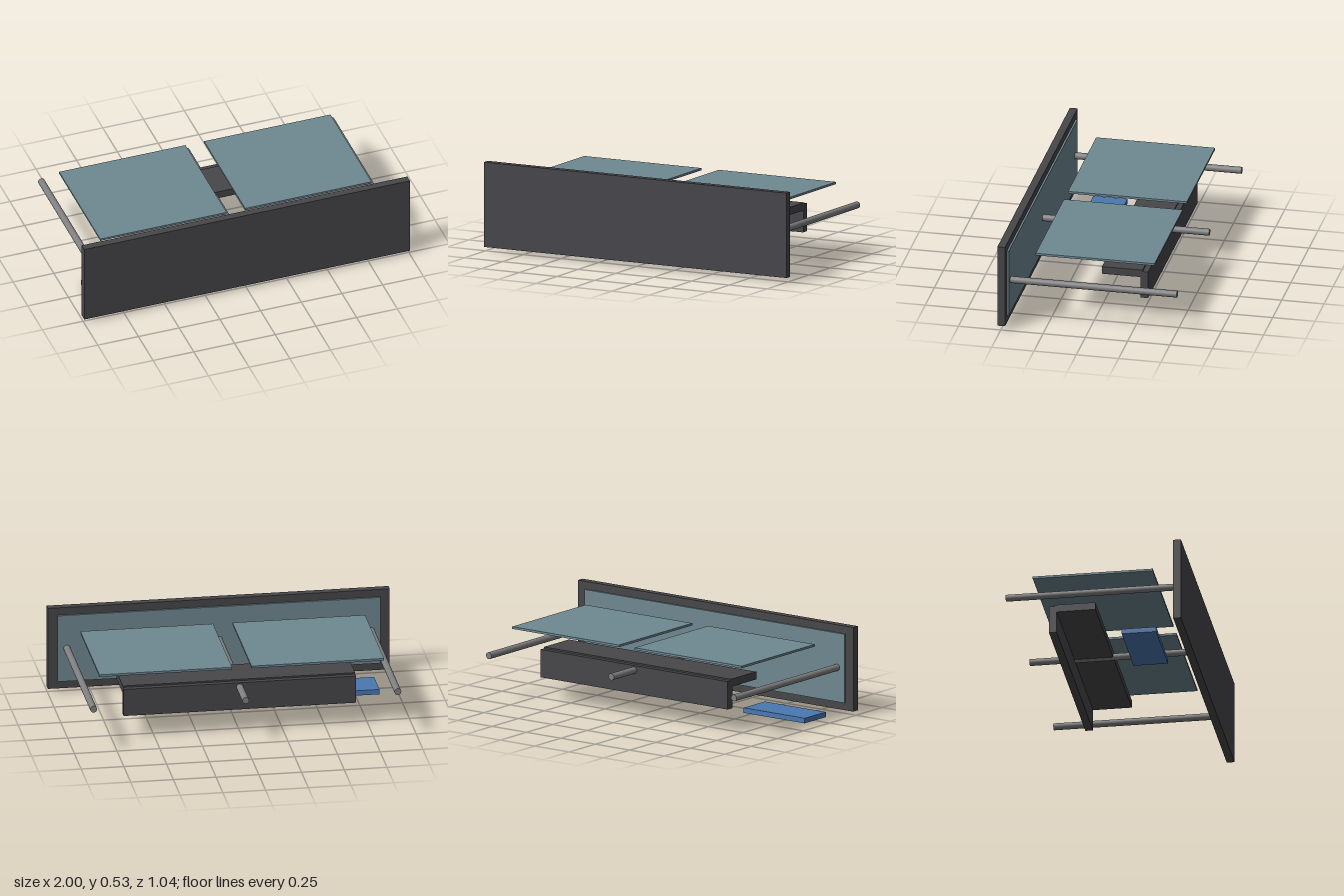
import * as THREE from 'three';

const mat = (color) => new THREE.MeshStandardMaterial({ color });

export function createModel() {
  const model = new THREE.Group();
  const dark = mat(0x47474b);
  const slate = mat(0x6f8891);
  const steel = mat(0x808082);
  const blue = mat(0x4a78b0);

  // Box given by its lower and upper corners
  function box(name, material, [x0, y0, z0], [x1, y1, z1]) {
    const mesh = new THREE.Mesh(new THREE.BoxGeometry(x1 - x0, y1 - y0, z1 - z0), material);
    mesh.position.set((x0 + x1) / 2, (y0 + y1) / 2, (z0 + z1) / 2);
    mesh.name = name;
    model.add(mesh);
  }

  // Front panel with its inset backing sheet
  box('frontPanel', dark, [-1, 0.026, 0.475], [1, 0.525, 0.52]);
  box('panelBacking', slate, [-0.945, 0.071, 0.464], [0.945, 0.479, 0.475]);

  // Two flat plates on top
  for (const side of [-1, 1]) {
    const a = side * 0.057, b = side * 0.833;
    box(side > 0 ? 'leftTopPlate' : 'rightTopPlate', slate,
      [Math.min(a, b), 0.416, -0.373], [Math.max(a, b), 0.429, 0.329]);
  }

  // L-shaped bracket: shelf and hanging rear board
  box('bracketShelf', dark, [-0.68, 0.266, -0.27], [0.68, 0.311, -0.03]);
  box('bracketBoard', dark, [-0.68, 0.137, -0.302], [0.68, 0.302, -0.257]);

  // Three rods running backwards from the panel
  const rodGeometry = new THREE.CylinderGeometry(0.02, 0.02, 0.99, 24).rotateX(Math.PI / 2);
  [['rightRod', -0.89], ['middleRod', 0], ['leftRod', 0.89]].forEach(([name, x]) => {
    const rod = new THREE.Mesh(rodGeometry, steel);
    rod.position.set(x, 0.275, -0.025);
    rod.name = name;
    model.add(rod);
  });

  // Small blue block on the ground
  box('blueBlock', blue, [-0.89, 0, 0.156], [-0.447, 0.03, 0.358]);

  return model;
}
